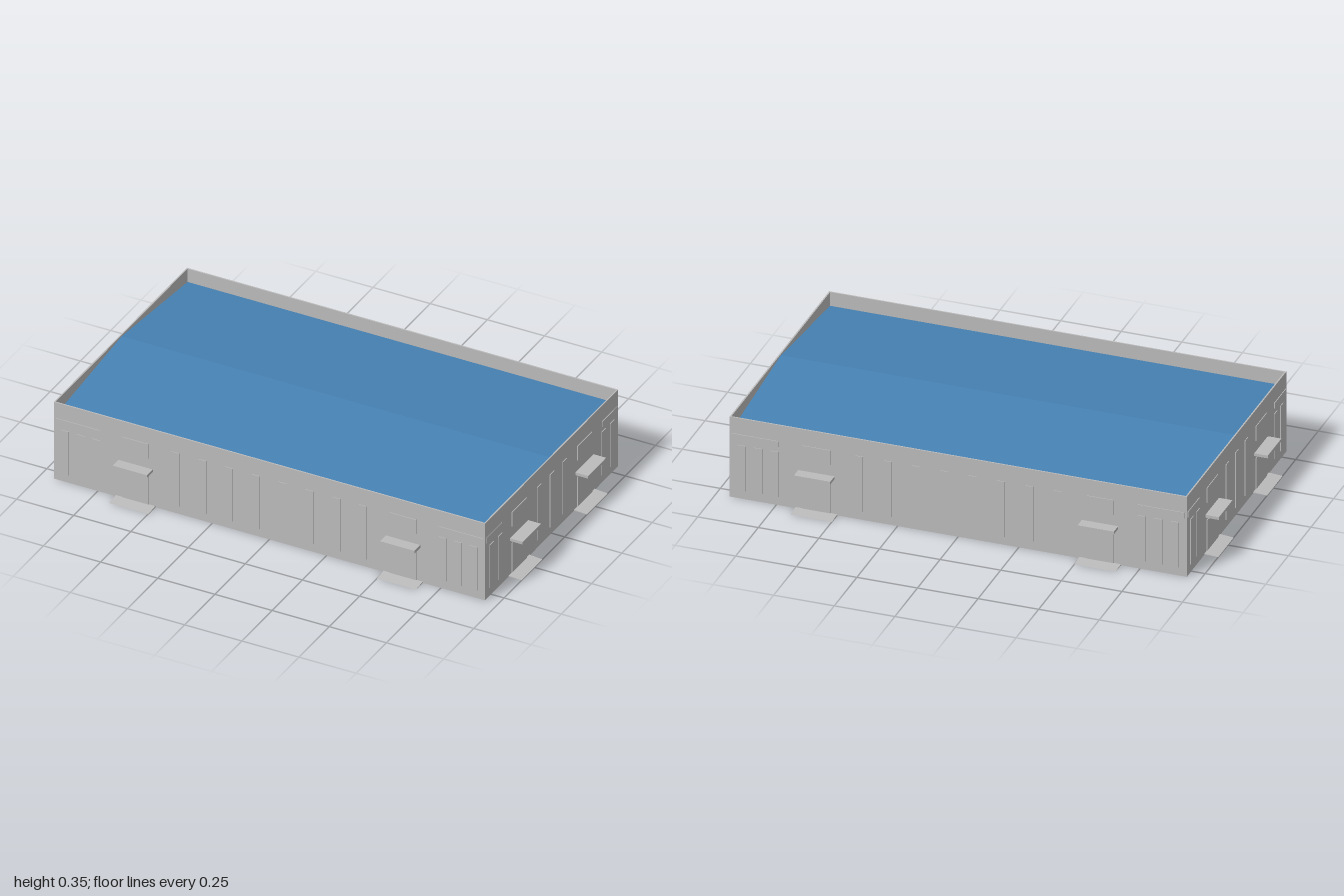
import * as THREE from 'three';

const HX = 0.943, HZ = 0.55, H = 0.35; // half width, half depth, wall height

export function createModel() {
  const model = new THREE.Group();
  const concrete = new THREE.MeshStandardMaterial({ color: 0xbbbbbb });
  concrete.name = 'grey concrete';
  const roofBlue = new THREE.MeshStandardMaterial({ color: 0x4682b4 });
  roofBlue.name = 'blue roofing';

  const add = (parent, name, geometry, material = concrete) => {
    const mesh = new THREE.Mesh(geometry, material);
    mesh.name = name;
    parent.add(mesh);
    return mesh;
  };
  const rect = (Type, x, z) => new Type([[-x, -z], [x, -z], [x, z], [-x, z]]
    .map(([a, b]) => new THREE.Vector2(a, b)));

  // Outer walls rise past the roof as a thin parapet
  const T = 0.006;
  const ring = rect(THREE.Shape, HX, HZ);
  ring.holes.push(rect(THREE.Path, HX - T, HZ - T));
  const walls = new THREE.ExtrudeGeometry(ring, { depth: H, bevelEnabled: false });
  add(model, 'walls', walls.rotateX(-Math.PI / 2));
  add(model, 'floor', new THREE.BoxGeometry(2 * HX - T, 0.004, 2 * HZ - T).translate(0, 0.002, 0));

  // Low gable roof, ridge running along x
  const d = HZ - T, gable = new THREE.Shape();
  gable.moveTo(-d, 0.28).lineTo(d, 0.28).lineTo(d, 0.29).lineTo(0, 0.345).lineTo(-d, 0.29);
  const roof = new THREE.ExtrudeGeometry(gable, { depth: 2 * (HX - T), bevelEnabled: false });
  add(model, 'roof', roof.translate(0, 0, -(HX - T)).rotateY(Math.PI / 2), roofBlue);

  // Entrance ramp: a wedge that thins to nothing at its outer edge
  const rampGeometry = (w, reach) => {
    const s = new THREE.Shape();
    s.moveTo(0, 0).lineTo(reach, 0).lineTo(0, 0.005);
    return new THREE.ExtrudeGeometry(s, { depth: w, bevelEnabled: false })
      .translate(0, 0, -w / 2).rotateY(-Math.PI / 2);
  };

  // One facade, built facing +z with its wall plane at z = 0
  function facade(name, { windows, endWindows, door, doorWidth, band }) {
    const g = new THREE.Group();
    g.name = name;
    const plate = (part, x0, x1, y0, y1, t = 0.003) => add(g, part,
      new THREE.BoxGeometry(x1 - x0, y1 - y0, t).translate((x0 + x1) / 2, (y0 + y1) / 2, t / 2));
    const windowPlate = (x, top) => plate('window', x - 0.017, x + 0.017, 0.036, top);

    windows.forEach((x) => windowPlate(x, 0.277));
    for (const s of [-1, 1]) {
      endWindows.forEach((x) => windowPlate(s * x, 0.233));
      const ends = band.map((x) => s * x).sort((a, b) => a - b);
      plate('cornerBand', ends[0], ends[1], 0.255, 0.28);

      // Entrance: door, canopy, window above and ramp
      const x = s * door, w = doorWidth / 2;
      plate('door', x - w, x + w, 0.005, 0.14);
      plate('upperWindow', x - w, x + w, 0.215, 0.28);
      plate('canopy', x - 0.075, x + 0.075, 0.157, 0.169, g.name.includes('Side') ? 0.056 : 0.048);
      add(g, 'entranceRamp', rampGeometry(0.172, 0.057)).position.x = x;
    }
    model.add(g);
    return g;
  }

  const longSide = {
    windows: Array.from({ length: 8 }, (_, i) => -0.41 + i * 0.8200 / 7),
    endWindows: [0.893, 0.825, 0.757], door: 0.585, doorWidth: 0.115, band: [0.74, 0.935],
  };
  const shortSide = {
    windows: [-0.105, 0, 0.105],
    endWindows: [0.497, 0.428], door: 0.27, doorWidth: 0.12, band: [0.415, 0.54],
  };
  facade('front', longSide).position.z = HZ;
  const back = facade('back', longSide);
  back.position.z = -HZ;
  back.rotation.y = Math.PI;
  for (const [name, s] of [['leftSide', 1], ['rightSide', -1]]) {
    const side = facade(name, shortSide);
    side.position.x = s * HX;
    side.rotation.y = s * Math.PI / 2;
  }
  return model;
}
